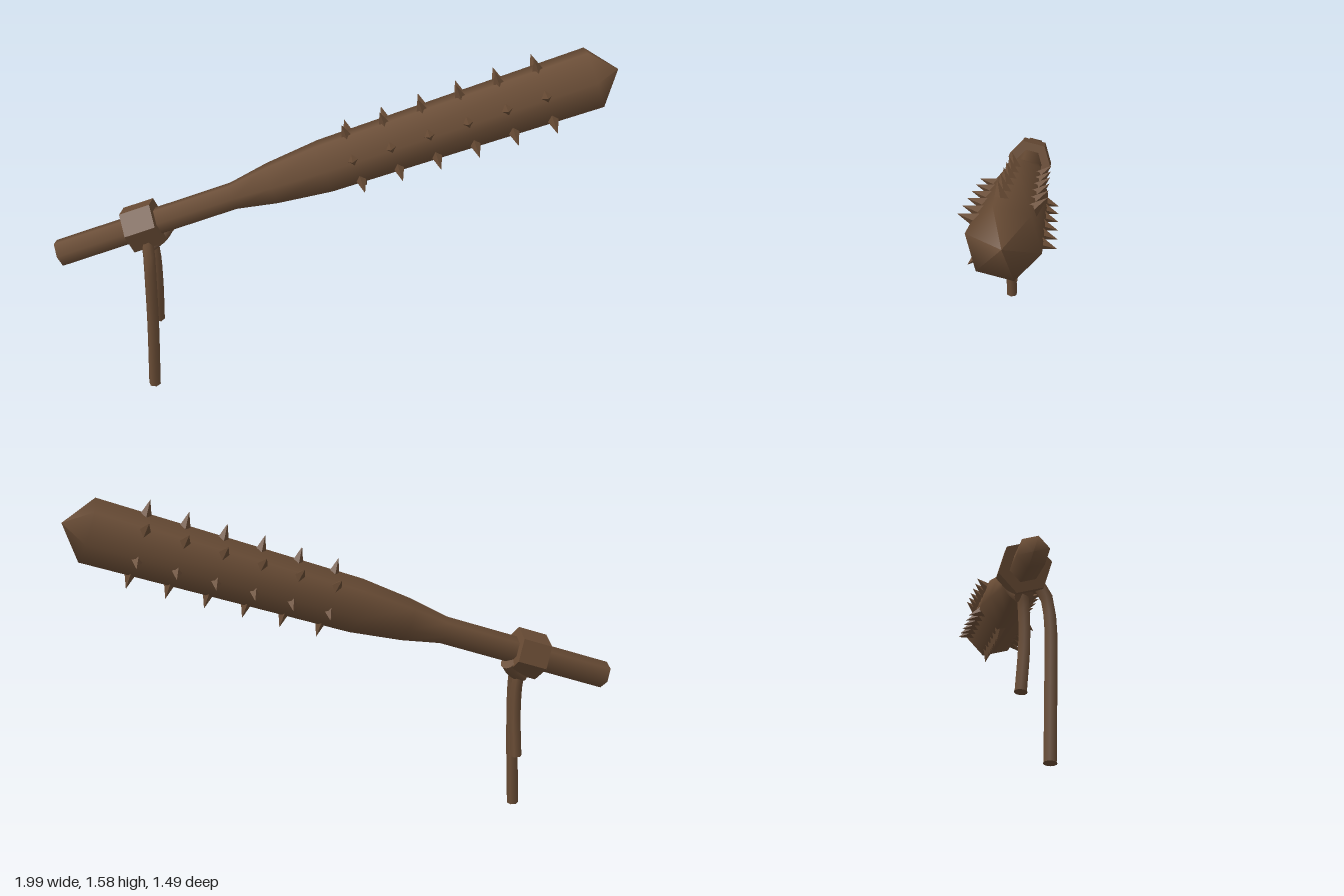
import * as THREE from 'three';

const rad = THREE.MathUtils.degToRad;

// Faceted copy of a geometry
function faceted(geometry) {
  const flat = geometry.toNonIndexed();
  flat.computeVertexNormals();
  return flat;
}

export function createModel() {
  const model = new THREE.Group();
  model.name = 'spikedClub';
  const wood = new THREE.MeshStandardMaterial({ color: 0x694c35 });
  wood.name = 'brown wood';

  const add = (parent, name, geometry) => {
    const mesh = new THREE.Mesh(geometry, wood);
    mesh.name = name;
    parent.add(mesh);
    return mesh;
  };

  // Club frame: local y runs from the grip end to the head
  const axis = new THREE.Vector3(0.769, 0.331, -0.546).normalize();
  const side = axis.clone().cross(new THREE.Vector3(-0.05, 0.88, 0.465)).normalize();
  const up = side.clone().cross(axis);
  const club = new THREE.Group();
  club.name = 'club';
  club.quaternion.setFromRotationMatrix(new THREE.Matrix4().makeBasis(side, axis, up));
  club.position.set(-0.96, 0.66, 0.70);
  model.add(club);

  // Six-sided shaft, flaring from grip to head with a blunt pointed end
  const profile = [
    [0, -0.008], [0.061, 0], [0.061, 0.82], [0.094, 1.0],
    [0.12, 1.24], [0.137, 2.43], [0, 2.535],
  ].map(([r, y]) => new THREE.Vector2(r, y));
  const shaft = add(club, 'shaft', new THREE.LatheGeometry(profile, 6));
  shaft.rotation.y = rad(-4);

  // Band wrapped around the grip
  const band = add(club, 'gripBand', faceted(new THREE.CylinderGeometry(0.105, 0.105, 0.14, 6)));
  band.position.y = 0.4;
  band.rotation.y = rad(-4);

  // Six rows of six spikes around the head
  const spikes = new THREE.Group();
  spikes.name = 'spikes';
  club.add(spikes);
  const spikeShape = faceted(new THREE.ConeGeometry(0.036, 0.1, 4).rotateX(Math.PI / 2));
  for (let row = 0; row < 6; row++) {
    const angle = rad(-9 + row * 60);
    for (let i = 0; i < 6; i++) {
      const spike = add(spikes, 'spike', spikeShape);
      const r = 0.126 + i * 0.003;
      spike.position.set(Math.sin(angle) * r, 1.375 + i * 0.168, Math.cos(angle) * r);
      spike.rotation.y = angle;
    }
  }

  // Hanging cords, closed at the lower end
  const cord = (name, radius, points) => {
    const path = new THREE.CatmullRomCurve3(points.map((p) => new THREE.Vector3(...p)));
    const group = new THREE.Group();
    group.name = name;
    add(group, name + 'Length', new THREE.TubeGeometry(path, 10, radius, 6));
    for (const t of [0, 1]) {
      const cap = add(group, name + 'End', new THREE.CircleGeometry(radius, 12));
      const out = path.getTangent(t).multiplyScalar(t ? 1 : -1);
      cap.position.copy(path.getPoint(t));
      cap.quaternion.setFromUnitVectors(new THREE.Vector3(0, 0, 1), out);
    }
    model.add(group);
  };
  cord('longCord', 0.027, [
    [-0.61, 0.75, 0.515], [-0.582, 0.69, 0.54], [-0.573, 0.57, 0.552],
    [-0.578, 0.35, 0.552], [-0.595, 0.005, 0.553],
  ]);
  cord('shortCord', 0.026, [
    [-0.63, 0.72, 0.46], [-0.618, 0.65, 0.46], [-0.615, 0.5, 0.46], [-0.63, 0.295, 0.452],
  ]);

  // Knot under the band
  cord('knot', 0.038, [[-0.59, 0.77, 0.40], [-0.605, 0.73, 0.43], [-0.64, 0.69, 0.475]]);

  return model;
}
